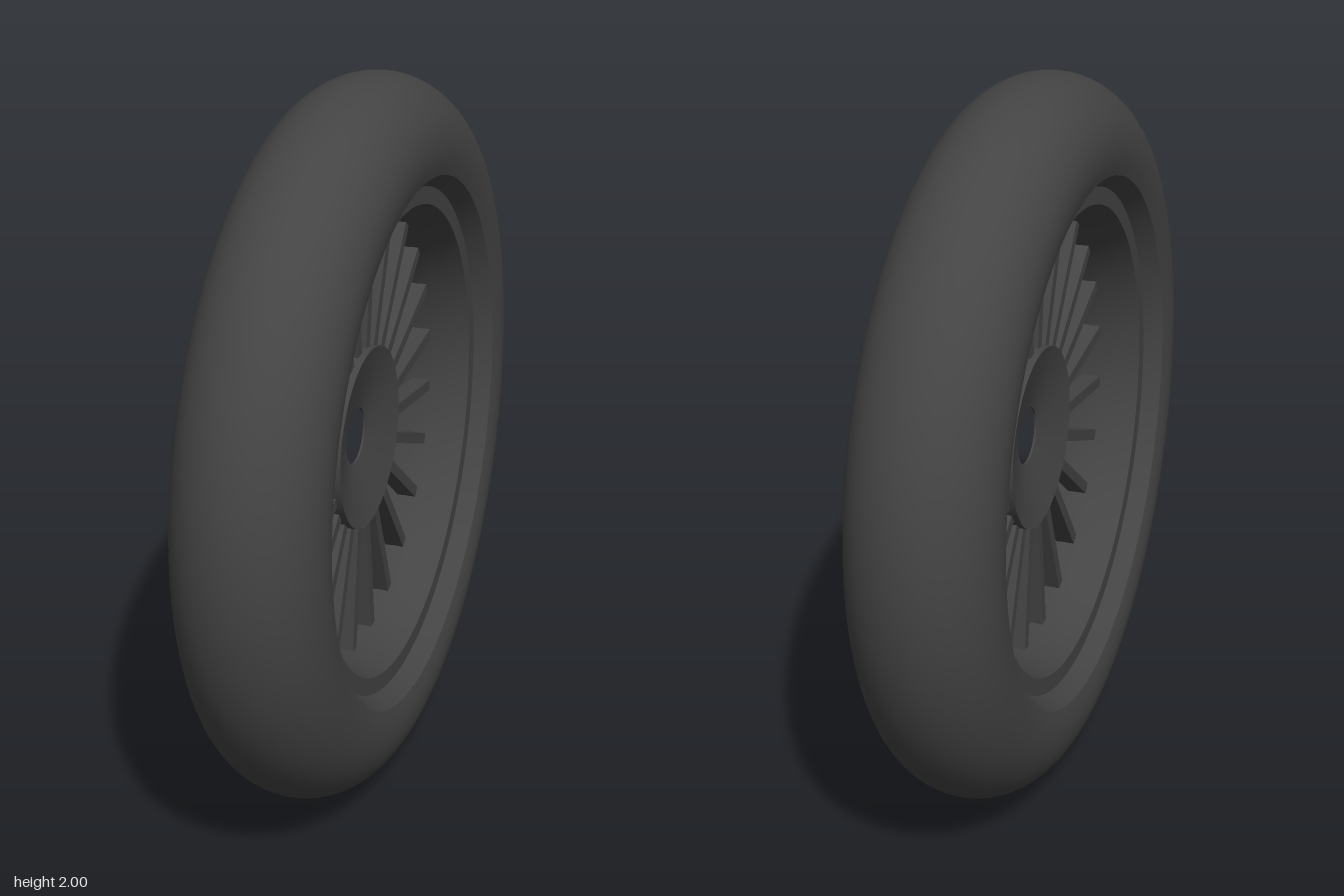
import * as THREE from 'three';
import { toCreasedNormals } from 'three/addons/utils/BufferGeometryUtils.js';

const SPOKES = 24;

// Revolve a [radius, axial] profile around the x axle
function revolve(profile, crease) {
  const points = profile.map(([r, a]) => new THREE.Vector2(r, a));
  const geometry = new THREE.LatheGeometry(points, 96);
  geometry.rotateZ(-Math.PI / 2);
  return crease ? toCreasedNormals(geometry, crease) : geometry;
}

export function createModel() {
  const rubber = new THREE.MeshStandardMaterial({ color: 0x444444 });
  rubber.name = 'charcoal';

  const wheel = new THREE.Group();
  wheel.name = 'wheel';
  wheel.position.y = 1;

  const add = (name, geometry, parent = wheel) => {
    const mesh = new THREE.Mesh(geometry, rubber);
    mesh.name = name;
    parent.add(mesh);
    return mesh;
  };

  // Tyre: round section, open where it meets the rim
  const sweep = 1.902;
  const tyre = [];
  for (let i = 0; i <= 24; i++) {
    const a = -sweep + (2 * sweep * i) / 24;
    tyre.push([0.8 + 0.2 * Math.cos(a), 0.2 * Math.sin(a)]);
  }
  add('tyre', revolve(tyre));

  // Rim: stepped lips with a barrel that narrows to the middle
  const half = [[0.735, 0.189], [0.70, 0.14], [0.652, 0.14], [0.637, 0.09], [0.628, 0.04]];
  const rim = [...half, [0.625, 0], ...half.map(([r, a]) => [r, -a]).reverse()];
  add('rim', revolve(rim, 0.5));

  // Hub: dished on both sides, thin around the axle hole
  add('hub', revolve([
    [0.08, 0.003], [0.08, -0.003], [0.255, -0.046], [0.255, 0.046], [0.08, 0.003],
  ], 0.5));

  // Spokes: straight radial bars
  const spokes = new THREE.Group();
  spokes.name = 'spokes';
  wheel.add(spokes);
  const bar = new THREE.BoxGeometry(0.055, 0.39, 0.032);
  bar.translate(0, 0.44, 0);
  for (let i = 0; i < SPOKES; i++) {
    add('spoke', bar, spokes).rotation.x = ((i + 0.5) / SPOKES) * Math.PI * 2;
  }

  const model = new THREE.Group();
  model.name = 'spokedWheel';
  model.add(wheel);
  return model;
}
